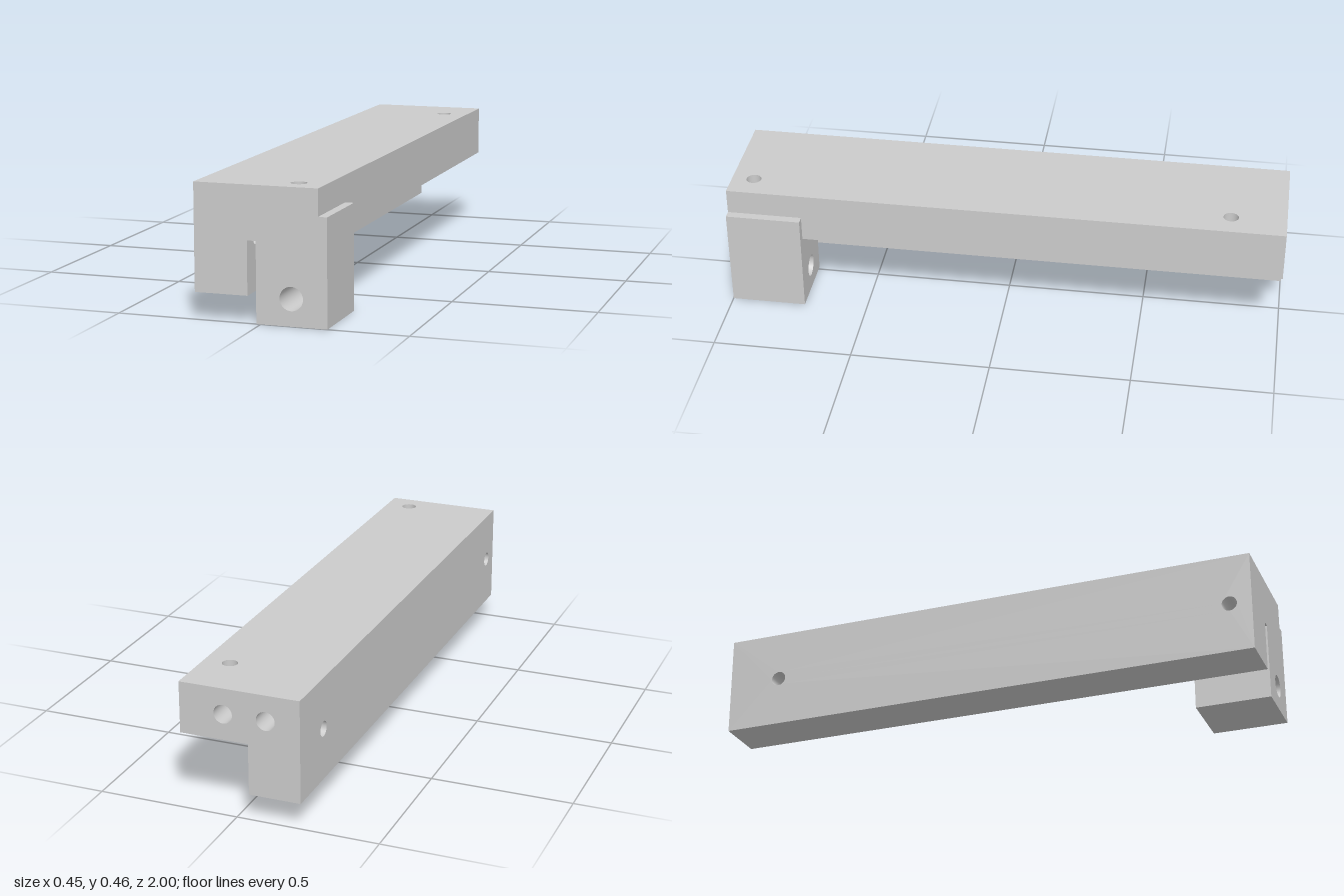
import * as THREE from 'three';
import { ParametricGeometry } from 'three/addons/geometries/ParametricGeometry.js';

// Main dimensions
const L = -0.228, R = 0.197, TOP = 0.455, MID = 0.273, LOW = 0.091; // L-shaped beam
const LEG = -0.045;                                                  // inner wall of the leg
const BL = -0.015, BR = 0.227, BTOP = 0.364, BZ = 0.73;              // end block
const r = 0.027, BX = 0.105, ZB = -0.803, ZF = 0.92;                 // cross-drilled bores
const rEnd = 0.033, endX = [0.042, -0.108], endDepth = 0.25;         // blind bores in the back end
const rBlock = 0.04;                                                 // through bore of the block

// Points of an arc in a face plane
function arc(cx, cy, rad, a0 = 0, a1 = Math.PI * 2, n = 40) {
  return Array.from({ length: n + 1 }, (_, i) => {
    const a = a0 + (a1 - a0) * i / n;
    return [cx + rad * Math.cos(a), cy + rad * Math.sin(a)];
  });
}
const rect = (a, b, c, d) => [[a, b], [c, b], [c, d], [a, d]];
const circle = (cx, cy, rad) => arc(cx, cy, rad).slice(0, -1);
const toPoints = pts => pts.map(p => new THREE.Vector2(p[0], p[1]));

export function createModel() {
  const model = new THREE.Group();
  const solid = new THREE.MeshStandardMaterial({ color: 0xcccccc });
  const inner = new THREE.MeshStandardMaterial({ color: 0xcccccc, side: THREE.DoubleSide });

  // Flat face across an axis; outlines are (x,y) for z, (x,z) for y and (z,y) for x
  function face(parent, name, axis, at, sign, outline, holes = []) {
    const shape = new THREE.Shape(toPoints(outline));
    holes.forEach(h => shape.holes.push(new THREE.Path(toPoints(h))));
    const g = new THREE.ShapeGeometry(shape), p = g.attributes.position;
    for (let i = 0; i < p.count; i++) {
      const u = p.getX(i), v = p.getY(i);
      if (axis === 'x') p.setXYZ(i, at, v, u);
      else if (axis === 'y') p.setXYZ(i, u, at, v);
      else p.setXYZ(i, u, v, at);
    }
    if ((axis === 'z' ? 1 : -1) !== sign) g.index.array.reverse();
    g.computeVertexNormals();
    const m = new THREE.Mesh(g, solid);
    m.name = name;
    parent.add(m);
  }

  // Bore wall: place(cos, sin, t) gives a point of the wall
  function bore(parent, name, place, a0 = 0, a1 = Math.PI * 2) {
    const g = new ParametricGeometry((u, t, out) => {
      const a = a0 + (a1 - a0) * u;
      out.set(...place(Math.cos(a), Math.sin(a), t));
    }, 40, 1);
    const m = new THREE.Mesh(g, inner);
    m.name = name;
    parent.add(m);
  }

  const group = name => {
    const g = new THREE.Group();
    g.name = name;
    model.add(g);
    return g;
  };
  const beam = group('beam'), block = group('endBlock'), bores = group('bores');

  // Beam ends
  face(beam, 'frontFace', 'z', 1, 1, [
    [L, LOW], [LEG, LOW], [LEG, MID], [BL, MID], [BL, 0], [BR, 0],
    [BR, BTOP], [R, BTOP], [R, TOP], [L, TOP]], [circle(BX, LOW, rBlock)]);
  face(beam, 'backFace', 'z', -1, -1,
    [[L, LOW], [LEG, LOW], [LEG, MID], [R, MID], [R, TOP], [L, TOP]],
    endX.map(x => circle(x, BTOP, rEnd)));

  // Beam long sides
  face(beam, 'topFace', 'y', TOP, 1, rect(L, -1, R, 1), [ZB, ZF].map(z => circle(BX, z, r)));
  face(beam, 'outerSide', 'x', L, -1, rect(-1, LOW, 1, TOP), [ZB, ZF].map(z => circle(z, MID, r)));
  face(beam, 'plateEdge', 'x', R, 1,
    [[-1, MID], [BZ, MID], [BZ, BTOP], [1, BTOP], [1, TOP], [-1, TOP]]);
  face(beam, 'legBottom', 'y', LOW, -1, rect(L, -1, LEG, 1));
  face(beam, 'legInnerSide', 'x', LEG, 1, [
    [-1, LOW], [1, LOW], [1, MID],
    ...arc(ZF, MID, r, 0, -Math.PI), ...arc(ZB, MID, r, 0, -Math.PI), [-1, MID]]);

  // Plate underside, cut by the groove of the back cross bore
  face(beam, 'plateUnderside', 'y', MID, -1, [
    [R, -1], [R, BZ], [BL, BZ], [BL, ZF - r], [LEG, ZF - r],
    [LEG, ZB + r], ...arc(BX, ZB, r, Math.PI / 2, -Math.PI / 2), [LEG, ZB - r], [LEG, -1]]);
  face(beam, 'slotRoof', 'y', MID, -1, rect(LEG, ZF + r, BL, 1));

  // End block
  face(block, 'blockSide', 'x', BR, 1, rect(BZ, 0, 1, BTOP));
  face(block, 'blockLedge', 'y', BTOP, 1, rect(R, BZ, BR, 1));
  face(block, 'blockBottom', 'y', 0, -1, rect(BL, BZ, BR, 1));
  face(block, 'blockBack', 'z', BZ, -1,
    [[BL, 0], [BR, 0], [BR, BTOP], [R, BTOP], [R, MID], [BL, MID]], [circle(BX, LOW, rBlock)]);
  face(block, 'blockInnerSide', 'x', BL, -1,
    [[BZ, 0], [1, 0], [1, MID], ...arc(ZF, MID, r, 0, -Math.PI), [BZ, MID]]);
  bore(block, 'blockBore', (c, s, t) => [BX + rBlock * c, LOW + rBlock * s, BZ + (1 - BZ) * t]);

  // Cross bores run in x from the outer side and are mitred into the vertical bores
  const along = (z, x0, x1) => (c, s, t) => {
    const end = x1 ?? BX - r * s;
    return [x0 + (end - x0) * t, MID + r * s, z + r * c];
  };
  const down = (z, floor) => (c, s, t) =>
    [BX + r * c, TOP + (Math.max(floor, MID - r * c) - TOP) * t, z + r * s];
  bore(bores, 'backVerticalBore', down(ZB, MID));
  bore(bores, 'frontVerticalBore', down(ZF, 0));
  for (const z of [ZB, ZF]) bore(bores, 'legBore', along(z, L, LEG));
  bore(bores, 'backGroove', along(ZB, LEG), 0, Math.PI);
  bore(bores, 'slotGroove', along(ZF, LEG, BL), 0, Math.PI);
  bore(bores, 'frontCrossBore', along(ZF, BL));

  // Blind bores in the back end
  for (const x of endX) {
    bore(bores, 'endBore', (c, s, t) => [x + rEnd * c, BTOP + rEnd * s, -1 + endDepth * t]);
    face(bores, 'endBoreFloor', 'z', -1 + endDepth, -1, circle(x, BTOP, rEnd));
  }
  return model;
}
